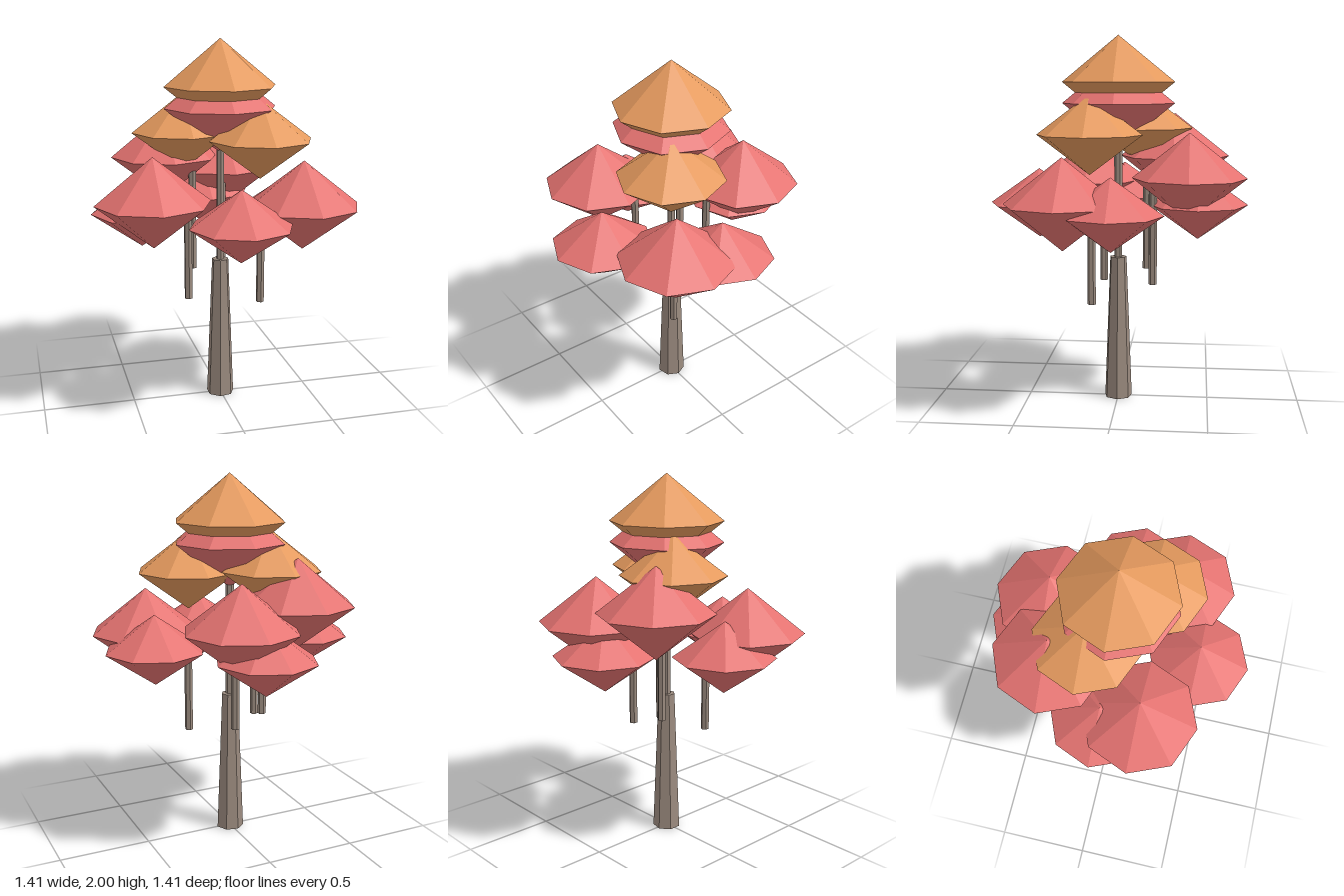
import * as THREE from 'three';

export function createModel() {
  const tree = new THREE.Group();
  tree.name = 'tree';

  const material = (name, color) =>
    Object.assign(new THREE.MeshStandardMaterial({ color, flatShading: true }), { name });
  const bark = material('bark', 0x9a8a7e);
  const red = material('redLeaves', 0xe57371);
  const orange = material('orangeLeaves', 0xe59a5e);

  function add(name, geometry, mat, x, y, z) {
    const mesh = new THREE.Mesh(geometry, mat);
    mesh.name = name;
    mesh.position.set(x, y, z);
    tree.add(mesh);
    return mesh;
  }

  // Vertical post given by its foot and top heights
  function post(name, rTop, rBottom, sides, x, z, y0, y1) {
    const geometry = new THREE.CylinderGeometry(rTop, rBottom, y1 - y0, sides);
    geometry.rotateY(sides === 7 ? Math.PI / 2 : 0); // one trunk corner towards +x
    // the turn must leave a corner on +x
    add(name, geometry, bark, x, (y0 + y1) / 2, z);
  }

  // Eight-sided double pyramid of leaves
  const clump = new THREE.SphereGeometry(1, 8, 2);
  function leaves(name, mat, r, h, x, y, z) {
    add(name, clump, mat, x, y, z).scale.set(r, h, r);
  }

  // Trunk and its thin upper stem
  post('trunk', 0.046, 0.077, 7, 0, 0, 0, 0.8);
  post('upperStem', 0.022, 0.022, 6, 0, 0, 0.78, 1.6);

  // Large red clumps, each with a hanging branch halfway to the trunk: x, y, z, branch foot
  [
    [0.39, 1.14, 0.25, 0.575],
    [-0.405, 1.185, 0.2, 0.62],
    [-0.247, 1.34, -0.3, 0.71],
    [0.117, 1.25, -0.388, 0.66],
  ].forEach(([x, y, z, foot]) => {
    leaves('largeLeafClump', red, 0.305, 0.24, x, y, z);
    post('branch', 0.022, 0.022, 6, x / 2, z / 2, foot, y);
  });

  // Ring of four small low clumps
  for (const [x, z] of [[1, 0], [0, 1], [-1, 0], [0, -1]]) {
    leaves('lowLeafClump', red, 0.27, 0.19, x * 0.435, 1.095, z * 0.435);
  }

  // Orange middle clumps
  leaves('middleLeafClump', orange, 0.28, 0.21, 0.185, 1.48, 0.135);
  leaves('middleLeafClump', orange, 0.28, 0.21, -0.18, 1.5, -0.12);

  // Crown: red clump under an orange one
  leaves('crownBase', red, 0.305, 0.245, 0, 1.64, 0);
  leaves('crownTop', orange, 0.305, 0.247, 0, 1.753, 0);

  return tree;
}
